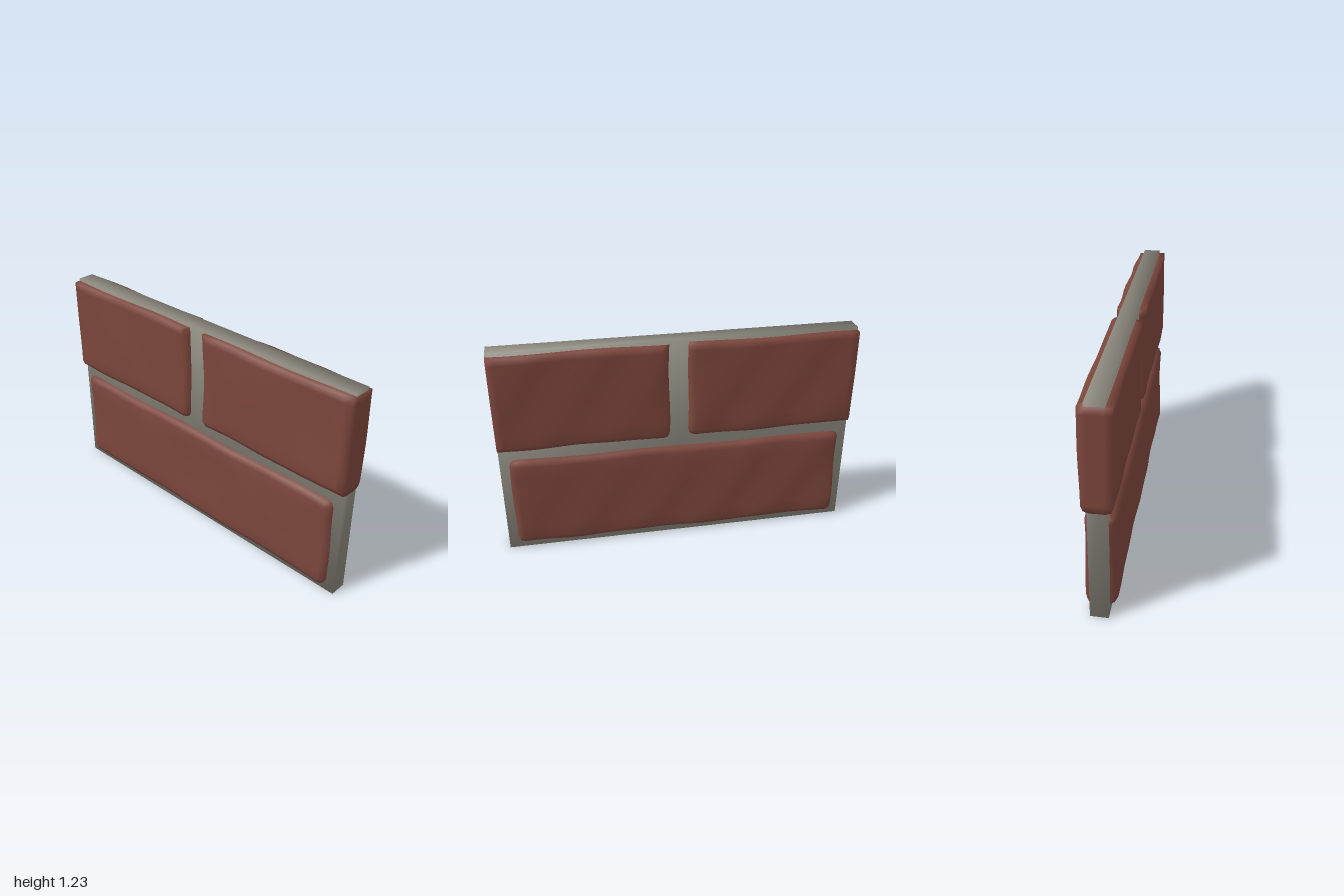
import * as THREE from 'three';
import { mergeVertices } from 'three/addons/utils/BufferGeometryUtils.js';

const BEVEL = 0.04;

// Welded box with shared corners, so its shading runs smoothly over the edges
function weldedBox(...args) {
  const geo = new THREE.BoxGeometry(...args);
  geo.deleteAttribute('normal');
  geo.deleteAttribute('uv');
  return mergeVertices(geo);
}

// Maps a grid step 0..n to lo..hi, with the outer rings one bevel wide
function gridStep(i, n, lo, hi) {
  if (i === 0) return lo;
  if (i === n) return hi;
  return lo + BEVEL + ((i - 1) / (n - 2)) * (hi - lo - 2 * BEVEL);
}

// Worn brick: bevelled edges, gently uneven faces; an end at x = -1 or 1 is cut flat
function brickGeometry(x0, x1, y0, y1, seed) {
  const lo = [x0, y0, -0.078], hi = [x1, y1, 0.08];
  const segs = [Math.round((x1 - x0) / 0.075), 9, 4];
  const geo = weldedBox(1, 1, 1, ...segs);
  const pos = geo.attributes.position;
  const p = new THREE.Vector3(), inner = new THREE.Vector3(), off = new THREE.Vector3();
  const innerLo = lo.map(v => (v <= -1 ? v : v + BEVEL));
  const innerHi = hi.map(v => (v >= 1 ? v : v - BEVEL));
  for (let i = 0; i < pos.count; i++) {
    p.fromBufferAttribute(pos, i);
    for (let a = 0; a < 3; a++) {
      const step = Math.round((p.getComponent(a) + 0.5) * segs[a]);
      const v = gridStep(step, segs[a], lo[a], hi[a]);
      p.setComponent(a, v);
      inner.setComponent(a, THREE.MathUtils.clamp(v, innerLo[a], innerHi[a]));
    }
    // round off the edges
    off.subVectors(p, inner);
    if (off.length() > BEVEL) p.copy(inner).addScaledVector(off.normalize(), BEVEL);
    // hand-made unevenness
    const side = p.z > 0 ? 1 : 2.3;
    const face = Math.sin(p.x * 7 * side + seed) * Math.sin(p.y * 9 + seed * side)
      + 0.5 * Math.sin(p.x * 17 + p.y * 13 + seed * 2);
    p.z += 0.0035 * face * Math.sign(p.z);
    p.y += 0.004 * Math.sin(p.x * 8 + seed + p.z * 20);
    if (Math.abs(p.x) < 0.999) p.x += 0.004 * Math.sin(p.y * 11 + seed * 3 + p.z * 15);
    pos.setXYZ(i, p.x, p.y, p.z);
  }
  geo.computeVertexNormals();
  return geo;
}

// Mortar slab with corner normals averaged
function mortarGeometry() {
  const geo = weldedBox(1.996, 1.23, 0.096);
  const pos = geo.attributes.position;
  const normals = new Float32Array(pos.count * 3);
  for (let i = 0; i < pos.count; i++) {
    new THREE.Vector3(Math.sign(pos.getX(i)), Math.sign(pos.getY(i)), Math.sign(pos.getZ(i)))
      .normalize().toArray(normals, i * 3);
  }
  geo.setAttribute('normal', new THREE.BufferAttribute(normals, 3));
  return geo.translate(0, 0.615, 0);
}

export function createModel() {
  const brickRed = new THREE.MeshStandardMaterial({ color: 0x7c463c });
  brickRed.name = 'brick red';
  const mortarGrey = new THREE.MeshStandardMaterial({ color: 0x8e8a7f });
  mortarGrey.name = 'mortar grey';

  const group = new THREE.Group();
  group.name = 'brickWall';
  const add = (name, geo, mat) => {
    const mesh = new THREE.Mesh(geo, mat);
    mesh.name = name;
    group.add(mesh);
  };

  add('mortar', mortarGeometry(), mortarGrey);
  add('lowerBrick', brickGeometry(-0.957, 0.95, 0.033, 0.592, 1.4), brickRed);
  add('upperRightBrick', brickGeometry(-1, -0.052, 0.648, 1.212, 3.1), brickRed);
  add('upperLeftBrick', brickGeometry(0.045, 1, 0.648, 1.212, 5.2), brickRed);
  return group;
}
